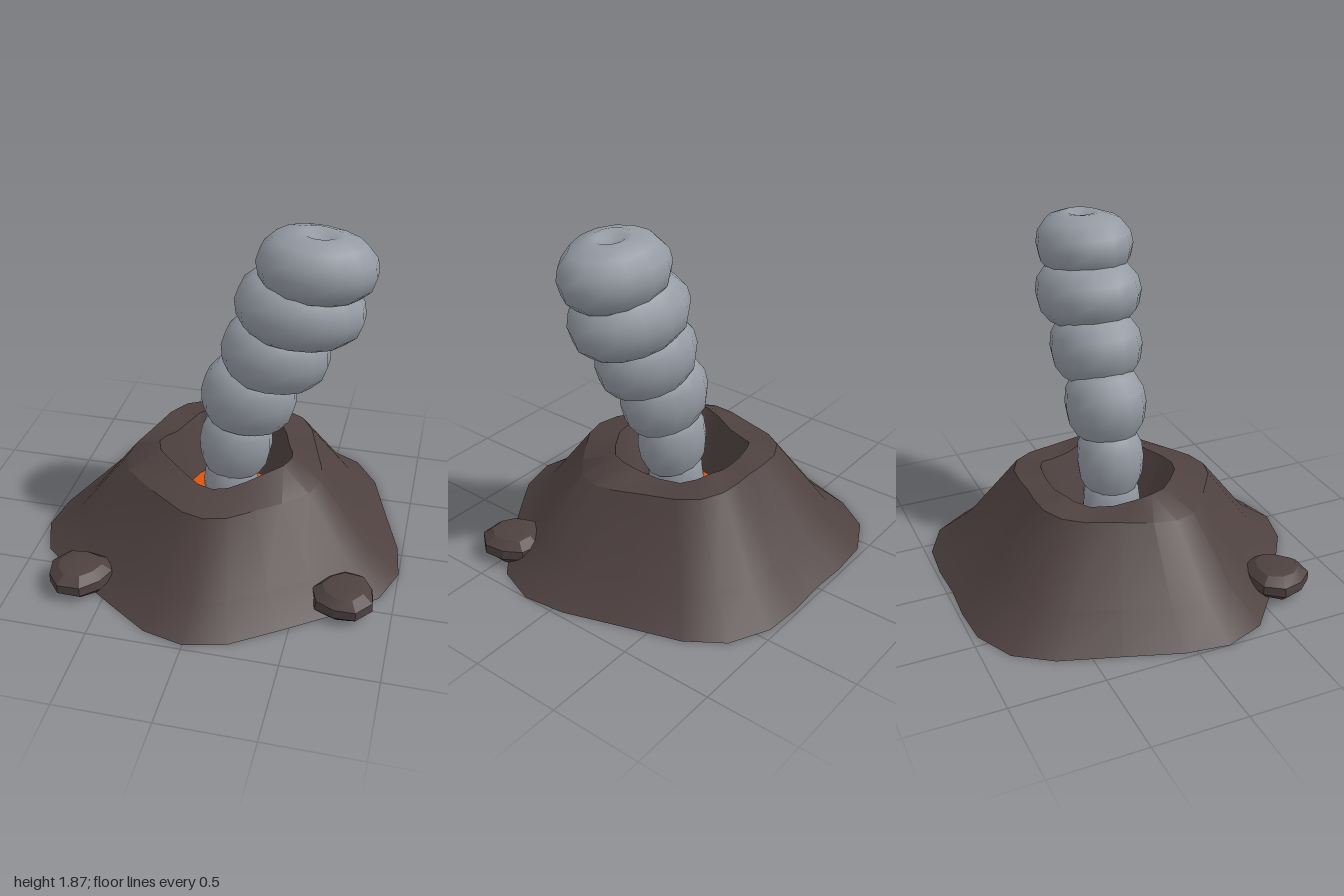
import * as THREE from 'three';
import { toCreasedNormals } from 'three/addons/utils/BufferGeometryUtils.js';

const rock = new THREE.MeshStandardMaterial({ color: 0x4e4140 });
rock.name = 'dark rock';
const lava = new THREE.MeshStandardMaterial({ color: 0xdc560f });
lava.name = 'orange lava';
const smoke = new THREE.MeshStandardMaterial({ color: 0x959ba4 });
smoke.name = 'grey smoke';

// Skin a list of rings (bottom to top, each running from +z towards +x).
function loft(rings, crease) {
  const pos = [];
  const tri = (a, b, c) => {
    const n = b.clone().sub(a).cross(c.clone().sub(a));
    if (n.length() > 1e-8) pos.push(...a.toArray(), ...b.toArray(), ...c.toArray());
  };
  for (let r = 0; r < rings.length - 1; r++) {
    const lo = rings[r], hi = rings[r + 1], n = lo.length;
    for (let i = 0; i < n; i++) {
      const j = (i + 1) % n;
      tri(lo[i], lo[j], hi[j]);
      tri(lo[i], hi[j], hi[i]);
    }
  }
  const geo = new THREE.BufferGeometry();
  geo.setAttribute('position', new THREE.Float32BufferAttribute(pos, 3));
  return toCreasedNormals(geo, crease);
}

function mesh(name, geo, mat) {
  const m = new THREE.Mesh(geo, mat);
  m.name = name;
  return m;
}

// Half outline of the mound, front tip to back: x, z, rim height
const half = [
  [0, 0.97, 0.51], [0.22, 0.915, 0.515], [0.45, 0.76, 0.53], [0.69, 0.59, 0.555],
  [0.92, 0.39, 0.57], [1, 0.17, 0.57], [0.97, -0.06, 0.55], [0.87, -0.36, 0.52],
  [0.77, -0.67, 0.52], [0.64, -0.86, 0.545], [0.43, -0.965, 0.56], [0.21, -0.98, 0.54],
  [0, -0.97, 0.53],
];
const outline = [...half, ...half.slice(1, -1).reverse().map(([x, z, y]) => [-x, z, y])];
const moundRing = (s, height, dz = 0) =>
  outline.map(([x, z, rim]) => new THREE.Vector3(x * s, height(z, rim), z * s + dz));

function buildMound() {
  const floorY = 0.22;
  const g = new THREE.Group();
  g.name = 'volcano';
  const floorRing = moundRing(0.265, () => floorY, -0.04);
  g.add(mesh('mound', loft([
    moundRing(0, () => 0),
    moundRing(1, () => 0),
    moundRing(0.81, (z) => 0.145 - 0.02 * z),
    moundRing(0.54, (z) => 0.495 - 0.035 * z),
    moundRing(0.37, (z, rim) => rim, -0.035),
    floorRing,
  ], 0.5), rock));
  g.add(mesh('lavaPool', loft([floorRing, moundRing(0, () => floorY, -0.04)], 0.5), lava));
  return g;
}

// Rounded lump: profile of [radius, height] fractions on an egg-shaped section
function lump(profile, sides, rx, h, rz, egg, crease, wobble = 0) {
  return loft(profile.map(([r, y], k) => Array.from({ length: sides }, (_, i) => {
    const a = (i / sides) * Math.PI * 2;
    const w = r * (1 + wobble * Math.sin(i * 2.3 + k * 0.6));
    return new THREE.Vector3(Math.sin(a) * rx * w, y * h,
      Math.cos(a) * (1 - egg * Math.sin(a)) * rz * w);
  })), crease);
}

const puffProfile = [[0, -0.95], [0.45, -1], [0.76, -0.98], [0.94, -0.6], [1, -0.1],
  [0.95, 0.35], [0.75, 0.8], [0.38, 1.02], [0.27, 1], [0.15, 0.88], [0, 0.86]];

// Smoke puffs: x, y, z, half width, half height, half depth, tilt
const puffs = [
  [0.02, 0.36, -0.04, 0.15, 0.19, 0.16, 0.05],
  [0.05, 0.62, -0.035, 0.2, 0.19, 0.18, 0.08],
  [0.12, 0.92, -0.035, 0.26, 0.185, 0.215, 0.13],
  [0.26, 1.2, -0.03, 0.29, 0.175, 0.245, 0.13],
  [0.38, 1.47, -0.025, 0.34, 0.165, 0.28, 0.12],
  [0.46, 1.71, -0.01, 0.31, 0.15, 0.255, 0.07],
];

const stoneProfile = [[0, -1], [0.72, -1], [0.97, -0.4], [0.95, 0.3], [0.65, 0.85], [0.3, 1], [0, 0.9]];

// Loose stones at the foot: name, x, z, half width, half depth, turn
const stones = [
  ['rightStone', -0.65, 0.635, 0.18, 0.165, 0.3],
  ['leftStone', 0.745, 0.5, 0.175, 0.165, 1.2],
];

export function createModel() {
  const model = new THREE.Group();
  model.name = 'smokingVolcano';
  model.add(buildMound());

  const column = new THREE.Group();
  column.name = 'smokeColumn';
  puffs.forEach(([x, y, z, rx, h, rz, tilt], i) => {
    const puff = mesh('smokePuff' + (i + 1), lump(puffProfile, 14, rx, h, rz, 0.12, 0.9), smoke);
    puff.position.set(x, y, z);
    puff.rotation.z = -tilt;
    column.add(puff);
  });
  model.add(column);

  for (const [name, x, z, rx, rz, turn] of stones) {
    const stone = mesh(name, lump(stoneProfile, 9, rx, 0.07, rz, 0.05, 0.4, 0.06), rock);
    stone.position.set(x, 0.08, z);
    stone.rotation.y = turn;
    model.add(stone);
  }
  return model;
}
